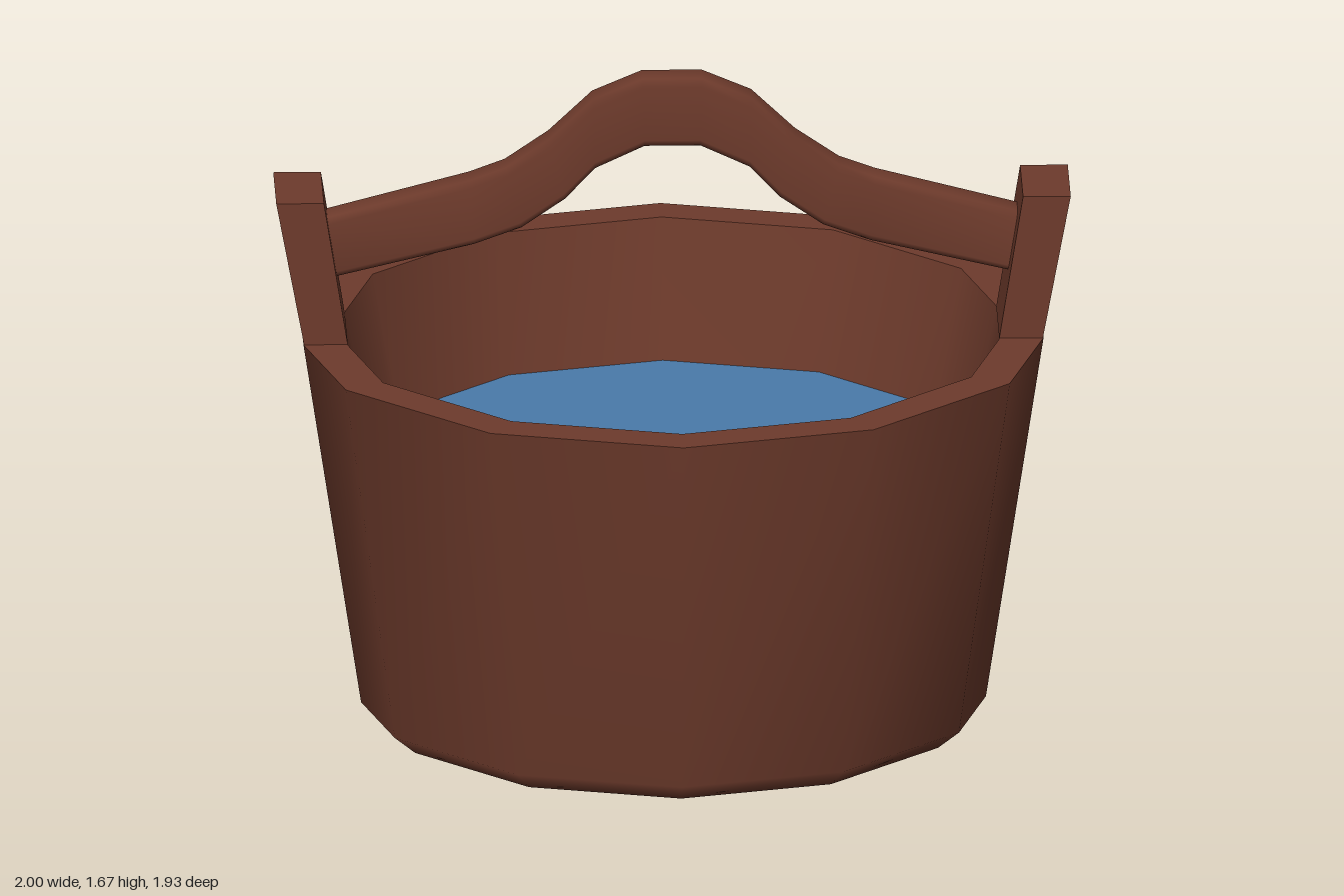
import * as THREE from 'three';

const HALF = 0.125; // half width of the two flat staves that carry the posts

// Twelve-sided ring whose left and right corners are cut flat
function ring(r, y) {
  const pts = [];
  const cut = r - HALF * Math.tan(Math.PI / 12);
  for (let k = 0; k < 12; k++) {
    const a = k * Math.PI / 6;
    if (k === 3) pts.push([cut, y, HALF], [cut, y, -HALF]);
    else if (k === 9) pts.push([-cut, y, -HALF], [-cut, y, HALF]);
    else pts.push([r * Math.sin(a), y, r * Math.cos(a)]);
  }
  return pts;
}

const centre = (y) => Array.from({ length: 14 }, () => [0, y, 0]);

// Skin a list of closed cross-sections with smooth normals
function loft(sections) {
  const n = sections[0].length;
  const index = [];
  for (let i = 0; i < sections.length - 1; i++) {
    for (let j = 0; j < n; j++) {
      const k = (j + 1) % n;
      const a = i * n + j, b = i * n + k, c = a + n, d = b + n;
      index.push(a, b, d, a, d, c);
    }
  }
  const geo = new THREE.BufferGeometry();
  geo.setAttribute('position', new THREE.Float32BufferAttribute(sections.flat(2), 3));
  geo.setIndex(index);
  geo.computeVertexNormals();
  return geo;
}

export function createModel() {
  const wood = new THREE.MeshStandardMaterial({ color: 0x6e3b2c });
  wood.name = 'brown wood';
  const blue = new THREE.MeshStandardMaterial({ color: 0x4a7bab });
  blue.name = 'water blue';

  const model = new THREE.Group();
  model.name = 'bucket';
  const add = (name, geo, mat) => {
    const mesh = new THREE.Mesh(geo, mat);
    mesh.name = name;
    model.add(mesh);
    return mesh;
  };

  // Tub: outside with bevelled foot, flat rim, inside with floor
  add('outerWall', loft([centre(0), ring(0.76, 0), ring(0.82, 0.05), ring(0.965, 1)]), wood);
  add('rim', loft([ring(0.965, 1), ring(0.855, 1)]), wood);
  add('innerWall', loft([ring(0.855, 1), ring(0.665, 0.1)]), wood);
  add('innerFloor', loft([ring(0.665, 0.1), centre(0.1)]), wood);

  // Water, with a slight ripple at the front edge
  const edge = ring(0.78, 0.645);
  edge[0][1] = 0.7;
  edge[1][1] = 0.59;
  const water = loft([edge, centre(0.645)]);
  const normal = water.attributes.normal;
  for (let i = 0; i < normal.count; i++) normal.setXYZ(i, 0, 1, 0);
  add('water', water, blue);

  // Leaning posts that continue the flat staves
  for (const [side, name] of [[1, 'leftPost'], [-1, 'rightPost']]) {
    const shape = new THREE.Shape(
      [[0.82, 1], [0.93, 1], [1, 1.375], [0.88, 1.375]].map(([x, y]) => new THREE.Vector2(side * x, y)));
    const geo = new THREE.ExtrudeGeometry(shape, { depth: 2 * HALF, bevelEnabled: false });
    geo.translate(0, 0, -HALF);
    add(name, geo, wood);
  }

  // Arched handle: [top x, top y, bottom x, bottom y] from the middle outwards
  const half = [
    [0.075, 1.667, 0.07, 1.49],
    [0.2, 1.614, 0.195, 1.432],
    [0.31, 1.51, 0.27, 1.352],
    [0.42, 1.435, 0.38, 1.277],
    [0.51, 1.402, 0.5, 1.234],
    [0.88, 1.305, 0.855, 1.15],
  ];
  const stations = [
    ...half.map(([a, b, c, d]) => [-a, b, -c, d]).reverse(),
    ...half,
  ];
  // Rounded bar section: [height fraction, z]
  const section = [
    [1, -0.036], [1, 0.036], [0.9, 0.05], [0.1, 0.05],
    [0, 0.036], [0, -0.036], [0.1, -0.05], [0.9, -0.05],
  ];
  add('handle', loft(stations.map(([tx, ty, bx, by]) =>
    section.map(([t, z]) => [bx + (tx - bx) * t, by + (ty - by) * t, z]))), wood);

  return model;
}
